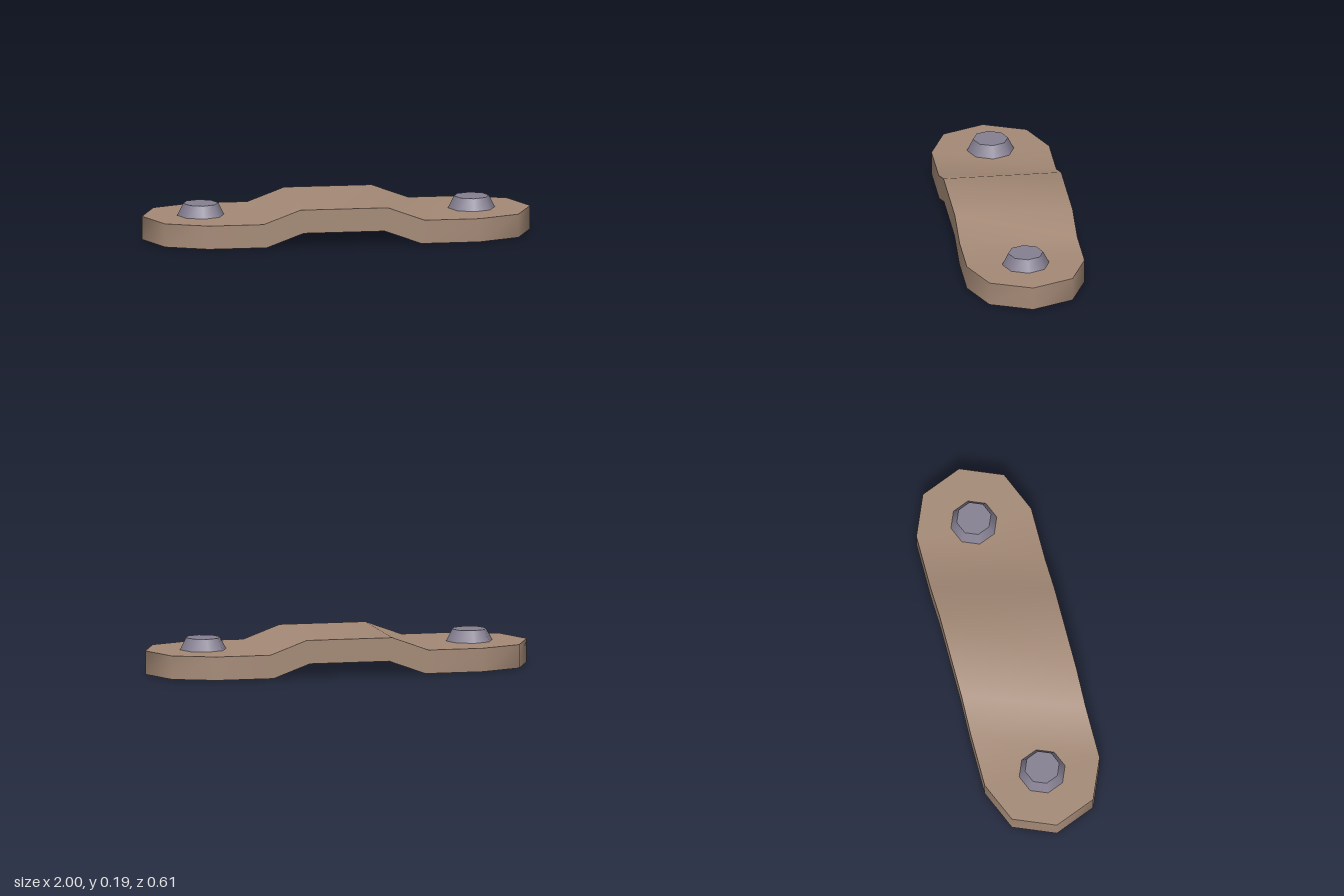
import * as THREE from 'three';
import { toCreasedNormals } from 'three/addons/utils/BufferGeometryUtils.js';

const strapMaterial = new THREE.MeshStandardMaterial({ name: 'brown strap', color: 0xa58a77 });
const studMaterial = new THREE.MeshStandardMaterial({ name: 'grey stud', color: 0x868092 });

const THICKNESS = 0.121;
const RISE = 0.07;

// Cross-sections of one half, from tip to middle: [top x, bottom x, half width, lift]
const HALF = [
  [1, 1, 0, 0],
  [0.911, 0.911, 0.214, 0],
  [0.698, 0.698, 0.303, 0],
  [0.415, 0.398, 0.303, 0],
  [0.225, 0.208, 0.303, RISE],
];

// Pointed strap with a raised middle, lofted through its cross-sections
function strapGeometry() {
  const sections = [
    ...HALF.map(([t, b, w, y]) => [-t, -b, w, y]),
    ...HALF.slice().reverse(),
  ];
  const rings = sections.map(([t, b, w, y]) => [
    new THREE.Vector3(t, y + THICKNESS, -w),
    new THREE.Vector3(t, y + THICKNESS, w),
    new THREE.Vector3(b, y, w),
    new THREE.Vector3(b, y, -w),
  ]);
  const points = [];
  const addTriangle = (a, b, c) => {
    // the tips narrow to an edge, so empty triangles are left out
    if (new THREE.Triangle(a, b, c).getArea() > 1e-6) points.push(a, b, c);
  };
  for (let i = 0; i < rings.length - 1; i++) {
    for (let k = 0; k < 4; k++) {
      const n = (k + 1) % 4;
      const [r, s] = [rings[i], rings[i + 1]];
      addTriangle(r[n], s[n], s[k]);
      addTriangle(r[n], s[k], r[k]);
    }
  }
  const geometry = new THREE.BufferGeometry().setFromPoints(points);
  return toCreasedNormals(geometry, Math.PI / 3);
}

export function createModel() {
  const group = new THREE.Group();
  group.name = 'strapPlate';

  const strap = new THREE.Mesh(strapGeometry(), strapMaterial);
  strap.name = 'strap';
  group.add(strap);

  // Tapered eight-sided stud near each end
  const studGeometry = new THREE.CylinderGeometry(0.09, 0.121, 0.061, 8);
  for (const side of [-1, 1]) {
    const stud = new THREE.Mesh(studGeometry, studMaterial);
    stud.name = side > 0 ? 'leftStud' : 'rightStud';
    stud.position.set(side * 0.698, THICKNESS + 0.0305, 0);
    group.add(stud);
  }
  return group;
}
